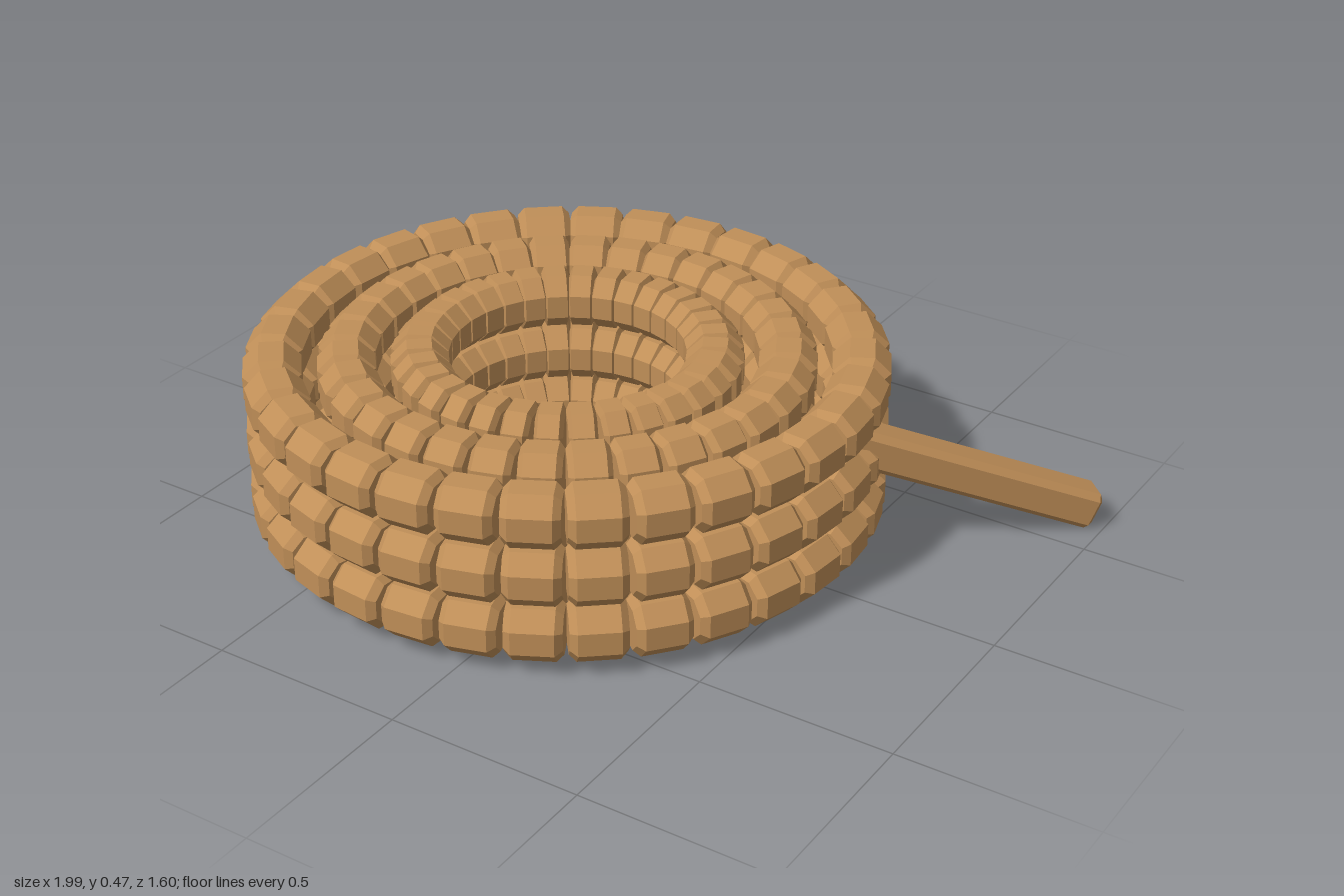
import * as THREE from 'three';

const rope = new THREE.MeshStandardMaterial({ color: 0xc08f58, flatShading: true });

// Eight-sided bar along z, centred, with bevelled ends
function bar(halfW, halfH, chamfer, length, bevelSize, bevelLength) {
  const w = halfW, h = halfH, c = chamfer;
  const shape = new THREE.Shape([
    [w, -h + c], [w, h - c], [w - c, h], [-w + c, h],
    [-w, h - c], [-w, -h + c], [-w + c, -h], [w - c, -h],
  ].map(([x, y]) => new THREE.Vector2(x, y)));
  const geo = new THREE.ExtrudeGeometry(shape, {
    depth: length - 2 * bevelLength, bevelEnabled: true, bevelSegments: 1,
    bevelSize, bevelOffset: -bevelSize, bevelThickness: bevelLength,
  });
  return geo.translate(0, 0, bevelLength - length / 2);
}

export function createModel() {
  const model = new THREE.Group();
  model.name = 'ropeCoil';

  // Three stacked layers of three concentric rings, each ring made of short segments
  const count = 32, step = (Math.PI * 2) / count;
  const rings = [['outer', 0.726], ['middle', 0.545], ['inner', 0.365]];
  const layers = [0.115, 0.267, 0.42];
  for (const [name, radius] of rings) {
    const length = radius * step * 0.97;
    const geo = bar(0.072, 0.071, 0.041, length, 0.017, length * 0.13);
    layers.forEach((y, layer) => {
      const ring = new THREE.Group();
      ring.name = `${name}Ring${layer + 1}`;
      ring.position.set(-0.2, y, 0);
      for (let i = 0; i < count; i++) {
        const a = (i + 0.5) * step;
        const segment = new THREE.Mesh(geo, rope);
        segment.name = 'ropeSegment';
        segment.position.set(radius * Math.cos(a), 0, radius * Math.sin(a));
        segment.rotation.y = -a;
        ring.add(segment);
      }
      model.add(ring);
    });
  }

  // Loose end sloping down to the ground
  const start = new THREE.Vector3(0.48, 0.335, -0.17);
  const end = new THREE.Vector3(0.953, 0.06, -0.638);
  const tail = new THREE.Mesh(bar(0.05, 0.05, 0.016, start.distanceTo(end), 0.012, 0.012), rope);
  tail.name = 'looseEnd';
  tail.position.copy(start).lerp(end, 0.5);
  tail.lookAt(end);
  model.add(tail);

  return model;
}
